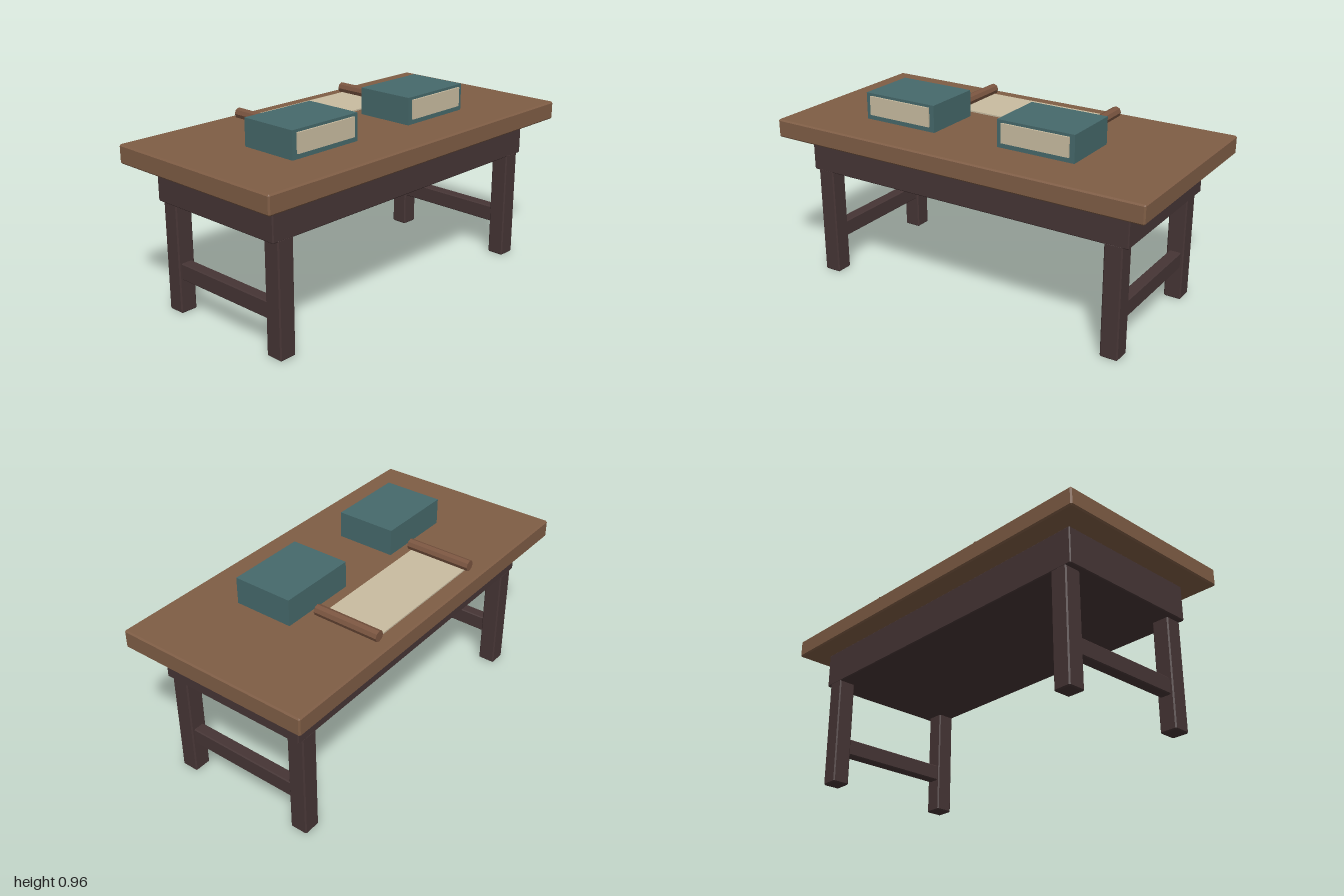
import * as THREE from 'three';
import { ConvexGeometry } from 'three/addons/geometries/ConvexGeometry.js';

const material = (name, color) => {
  const m = new THREE.MeshStandardMaterial({ color });
  m.name = name;
  return m;
};

// Box with evenly chamfered edges, as the hull of three points per corner
function chamferBox(w, h, d, c) {
  const points = [];
  for (const x of [-1, 1]) for (const y of [-1, 1]) for (const z of [-1, 1]) {
    const a = x * w / 2, b = y * h / 2, e = z * d / 2;
    points.push(
      new THREE.Vector3(a, b - y * c, e - z * c),
      new THREE.Vector3(a - x * c, b, e - z * c),
      new THREE.Vector3(a - x * c, b - y * c, e));
  }
  return new ConvexGeometry(points);
}

export function createModel() {
  const group = new THREE.Group();
  group.name = 'writingTable';

  const wood = material('tabletop brown', 0x7f5d45);
  const darkWood = material('dark frame wood', 0x463535);
  const rod = material('scroll rod brown', 0x7a5540);
  const teal = material('book cover teal', 0x46696b);
  const paper = material('paper cream', 0xc9bca0);

  const add = (name, geometry, mat, x, y, z, parent = group) => {
    const mesh = new THREE.Mesh(geometry, mat);
    mesh.name = name;
    mesh.position.set(x, y, z);
    parent.add(mesh);
    return mesh;
  };

  // Tabletop and the solid apron below it
  add('tabletop', chamferBox(2, 0.092, 1, 0.007), wood, 0, 0.784, 0);
  add('apron', chamferBox(1.765, 0.183, 0.776, 0.005), darkWood, 0, 0.6475, 0);

  // Legs, with a side stretcher joining each pair
  const legGeometry = chamferBox(0.09, 0.565, 0.09, 0.006);
  const stretcherGeometry = chamferBox(0.06, 0.084, 0.61, 0.005);
  for (const side of [-1, 1]) {
    const name = side > 0 ? 'left' : 'right';
    for (const end of [-1, 1]) {
      add(name + (end > 0 ? 'FrontLeg' : 'BackLeg'), legGeometry, darkWood, side * 0.81, 0.2825, end * 0.343);
    }
    add(name + 'Stretcher', stretcherGeometry, darkWood, side * 0.81, 0.212, 0);
  }

  // Two thick books with the page block showing at the front
  for (const [name, x] of [['rightBook', -0.43], ['leftBook', 0.333]]) {
    const book = new THREE.Group();
    book.name = name;
    book.position.set(x, 0.83, 0);
    group.add(book);
    add('cover', new THREE.BoxGeometry(0.406, 0.135, 0.306), teal, 0, 0.0675, 0.096, book);
    add('pages', new THREE.BoxGeometry(0.354, 0.096, 0.009), paper, 0, 0.0735, 0.2535, book);
  }

  // Open scroll: a flat sheet between two eight-sided rods
  const scroll = new THREE.Group();
  scroll.name = 'scroll';
  group.add(scroll);
  add('sheet', new THREE.BoxGeometry(0.7, 0.007, 0.306), paper, 0.025, 0.8335, -0.268, scroll);
  const rodGeometry = new THREE.CylinderGeometry(0.0275, 0.0275, 0.343, 8).rotateX(Math.PI / 2).toNonIndexed();
  rodGeometry.computeVertexNormals();
  for (const side of [-1, 1]) {
    add(side > 0 ? 'leftRod' : 'rightRod', rodGeometry, rod, 0.025 + side * 0.3635, 0.8575, -0.268, scroll);
  }

  return group;
}
